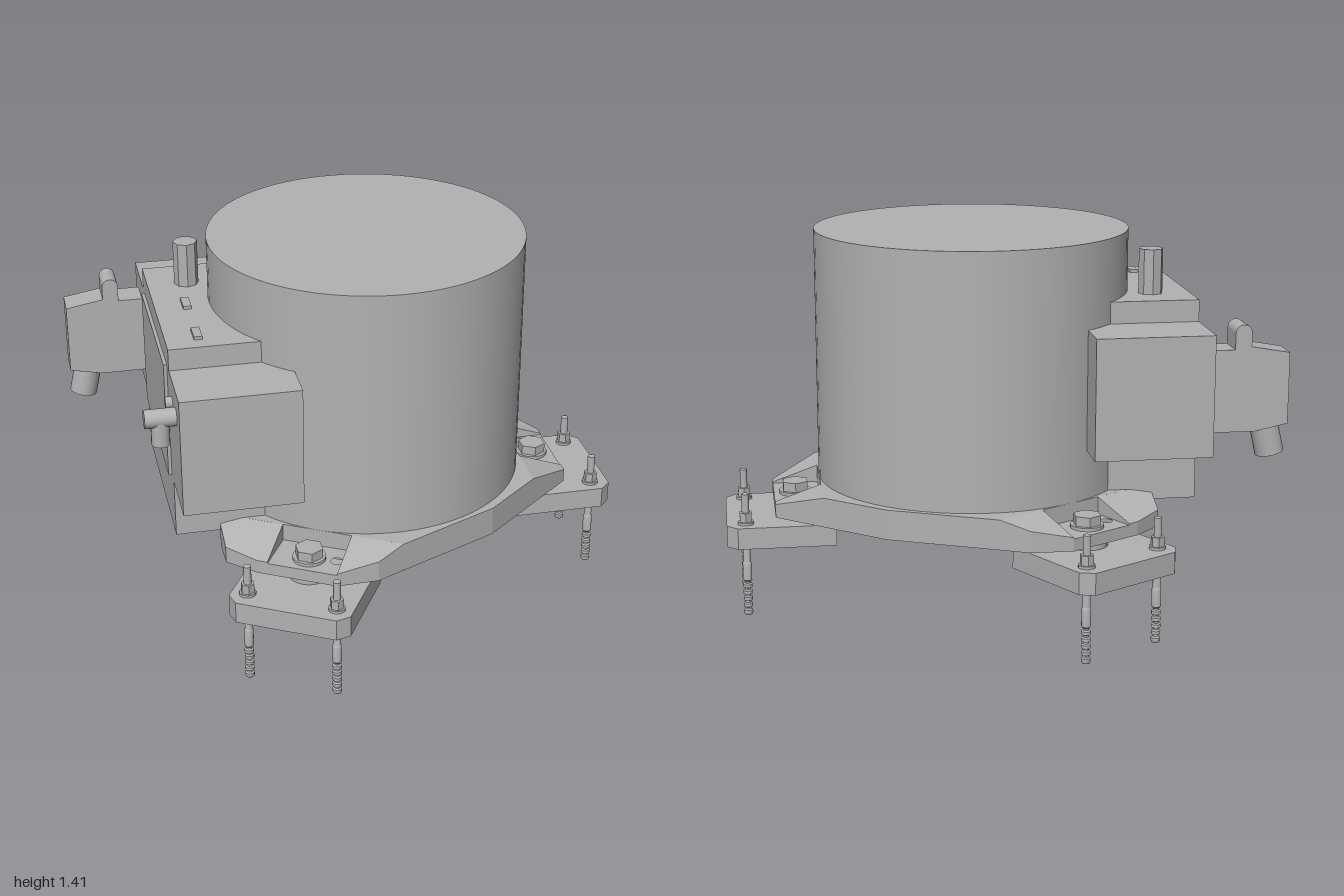
import * as THREE from 'three';
import { toCreasedNormals } from 'three/addons/utils/BufferGeometryUtils.js';

const CX = 0.07; // axis of the drum and of the three feet
const grey = new THREE.MeshStandardMaterial({ color: 0xb2b2b2 });
grey.name = 'grey';

function add(parent, name, geometry, x = 0, y = 0, z = 0) {
  const mesh = new THREE.Mesh(geometry, grey);
  mesh.name = name;
  mesh.position.set(x, y, z);
  parent.add(mesh);
  return mesh;
}

// box given by its limits on each axis
function block(parent, name, x0, x1, y0, y1, z0, z1) {
  return add(parent, name, new THREE.BoxGeometry(x1 - x0, y1 - y0, z1 - z0),
    (x0 + x1) / 2, (y0 + y1) / 2, (z0 + z1) / 2);
}

function cylinder(parent, name, r, y0, y1, x, z, sides = 24) {
  const geometry = new THREE.CylinderGeometry(r, r, y1 - y0, sides);
  return add(parent, name, sides < 10 ? toCreasedNormals(geometry, 0.5) : geometry, x, (y0 + y1) / 2, z);
}

// outline of [x, z] points raised from y0 to y1, with round holes [x, z, r]
function slab(points, y0, y1, holes = [], topAt = null) {
  const shape = new THREE.Shape(points.map(([x, z]) => new THREE.Vector2(x, -z)));
  for (const [x, z, r] of holes) {
    shape.holes.push(new THREE.Path().absarc(x, -z, r, 0, Math.PI * 2, true));
  }
  const g = new THREE.ExtrudeGeometry(shape, { depth: y1 - y0, bevelEnabled: false, curveSegments: 10 });
  g.rotateX(-Math.PI / 2).translate(0, y0, 0);
  if (topAt) {
    const p = g.attributes.position;
    for (let i = 0; i < p.count; i++) if (p.getY(i) > y0 + 0.01) p.setY(i, topAt(p.getX(i)));
    g.computeVertexNormals();
  }
  return g;
}

// threaded floor anchor: ribbed tip, shank, washer, nut and stud
function anchor(parent, x, z) {
  const profile = [[0, 0], [0.014, 0]];
  for (let i = 0; i < 5; i++) {
    const y = 0.006 + i * 0.025;
    profile.push([0.017, y], [0.017, y + 0.012], [0.011, y + 0.016], [0.011, y + 0.022]);
  }
  profile.push([0.017, 0.135], [0.017, 0.2], [0.014, 0.205], [0.014, 0.465], [0, 0.47]);
  const lathe = new THREE.LatheGeometry(profile.map(([r, y]) => new THREE.Vector2(r, y)), 14);
  add(parent, 'anchorBolt', toCreasedNormals(lathe, 0.6), x, 0, z);
  cylinder(parent, 'anchorWasher', 0.03, 0.35, 0.36, x, z, 18);
  cylinder(parent, 'anchorNut', 0.025, 0.36, 0.395, x, z, 6);
}

// one foot pad with the sloped base arm standing on it, pointing along +x
function foot(angle, cheekA, cheekB) {
  const g = new THREE.Group();
  g.name = 'foot';
  g.position.x = CX;
  g.rotation.y = angle;
  const hole = [0.66, -0.1, 0.022];
  const pad = [[0.53, -0.225], [0.89, -0.225], [0.93, -0.185], [0.93, 0.185], [0.89, 0.225], [0.53, 0.225]];
  add(g, 'footPad', slab(pad, 0.27, 0.35, [hole, [0.67, 0, 0.02]]));
  cylinder(g, 'spacer', 0.075, 0.35, 0.372, 0.67, 0);
  for (const z of [-0.165, 0.165]) anchor(g, 0.86, z);

  const floor = [[0.58, -0.13], [0.75, -0.13], [0.75, 0.13], [0.58, 0.13]];
  add(g, 'pocketFloor', slab(floor, 0.37, 0.415, [hole]));
  const slope = (d) => 0.48 - Math.max(0, d - 0.58) * 0.35;
  for (const cheek of [cheekA, cheekB]) add(g, 'armCheek', slab(cheek, 0.37, 0.48, [], slope));

  cylinder(g, 'boltWasher', 0.06, 0.415, 0.427, 0.67, 0);
  cylinder(g, 'boltHead', 0.052, 0.427, 0.462, 0.67, 0, 6);
  return g;
}

export function createModel() {
  const model = new THREE.Group();
  model.name = 'drumBase';

  // drum
  add(model, 'drum', new THREE.CylinderGeometry(0.58, 0.58, 0.95, 72), CX, 0.935, 0);

  // base plate, open at the back where the cabinet sits
  const half = [[0.65, 0.313], [0.44, 0.49], [0.06, 0.664], [-0.466, 0.36], [-0.12, 0.36]];
  const outline = [...half, ...half.map(([x, z]) => [x, -z]).reverse()];
  add(model, 'basePlate', slab(outline, 0.37, 0.48));

  // feet and arms, the two rear ones mirrored
  const flip = (points) => points.map(([x, z]) => [x, -z]);
  const side = [[0.58, 0.13], [0.58, 0.313], [0.75, 0.17], [0.75, 0.13]];
  const outer = [[0.58, 0.13], [0.58, 0.323], [0.67, 0.26], [0.75, 0.13]];
  const inner = [[0.58, 0.13], [0.58, 0.284], [0.62, 0.357], [0.717, 0.3], [0.75, 0.17], [0.75, 0.13]];
  const third = Math.PI * 2 / 3;
  model.add(foot(0, side, flip(side)));
  model.add(foot(-third, flip(outer), inner));
  model.add(foot(third, outer, flip(inner)));

  // cabinet with its two side boxes and rear cover
  const cabinet = new THREE.Group();
  cabinet.name = 'cabinet';
  model.add(cabinet);
  block(cabinet, 'cabinetBody', -0.71, -0.11, 0.44, 1.18, -0.36, 0.36);
  block(cabinet, 'sideBox', -0.71, -0.285, 0.66, 1.1, 0.36, 0.605);
  block(cabinet, 'sideBox', -0.71, -0.285, 0.66, 1.1, -0.61, -0.36);
  block(cabinet, 'rearCover', -0.722, -0.71, 0.66, 1.1, -0.31, 0.31);
  for (const z of [0, 0.26]) block(cabinet, 'topTab', -0.61, -0.58, 1.18, 1.192, z - 0.04, z + 0.04);
  cylinder(cabinet, 'topPost', 0.045, 1.18, 1.345, -0.565, -0.2, 8);

  // plug housing with a rounded latch and a slanted cable gland
  const housing = new THREE.Shape();
  housing.moveTo(-0.71, 0.73).lineTo(-0.71, 1.03).lineTo(-0.8, 1.03).lineTo(-0.8, 1.09);
  housing.absarc(-0.83, 1.09, 0.03, 0, Math.PI, false);
  housing.lineTo(-0.86, 1.04).lineTo(-1, 1.015).lineTo(-1, 0.755).lineTo(-0.88, 0.73);
  const plug = new THREE.ExtrudeGeometry(housing, { depth: 0.115, bevelEnabled: false });
  add(cabinet, 'plugHousing', plug, 0, 0, -0.535);
  const gland = cylinder(cabinet, 'cableGland', 0.052, 0.635, 0.79, -0.935, -0.478);
  gland.rotation.z = -0.22;

  // tee fitting and small port
  const tee = cylinder(cabinet, 'teeFitting', 0.033, 0.945, 1.055, -0.765, 0.51);
  tee.rotation.z = Math.PI / 2;
  cylinder(cabinet, 'teeOutlet', 0.032, 0.9, 1.0, -0.765, 0.51);
  const port = cylinder(cabinet, 'smallPort', 0.02, 0.99, 1.03, -0.715, 0.42);
  port.rotation.z = Math.PI / 2;

  return model;
}
